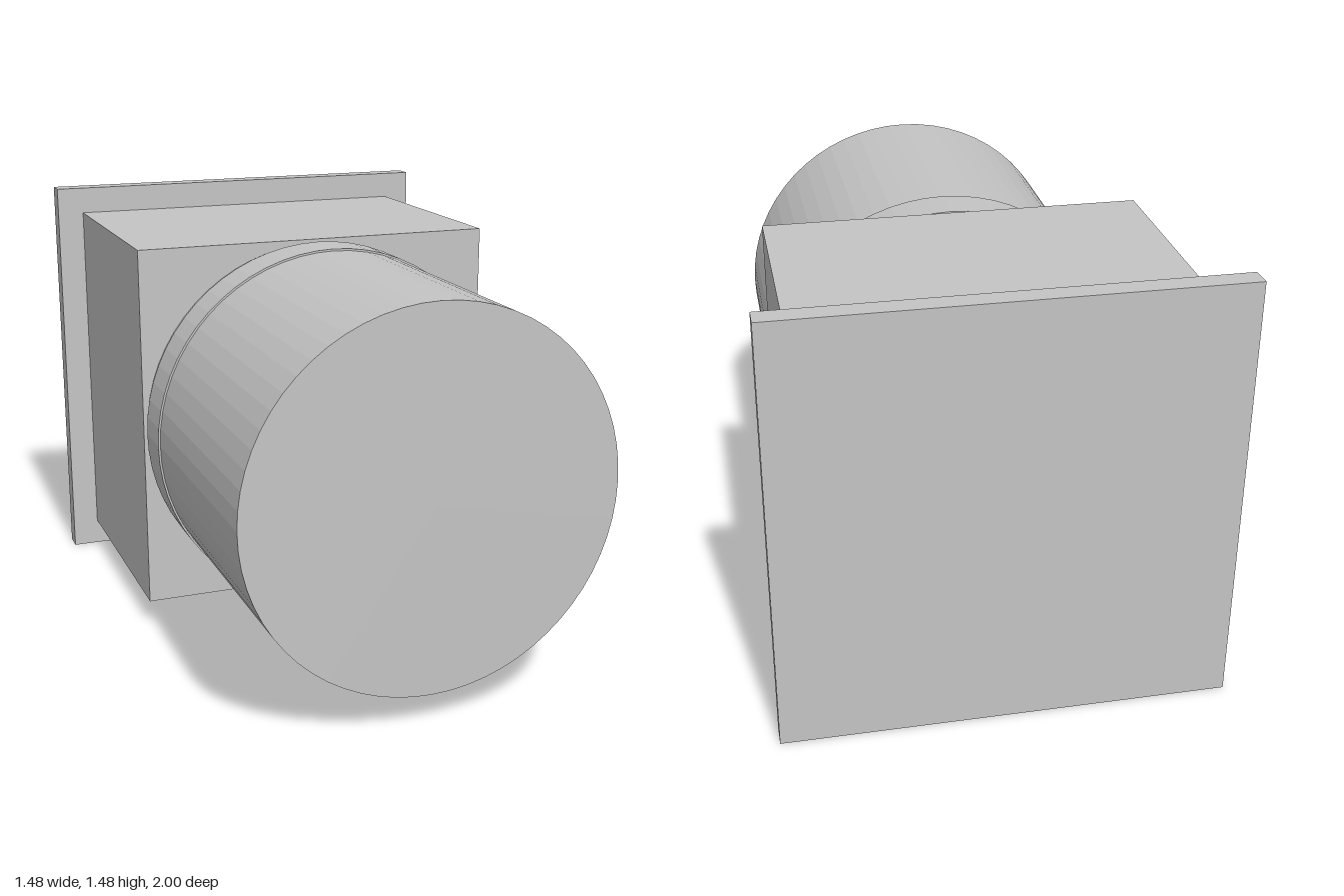
import * as THREE from 'three';

export function createModel() {
  const group = new THREE.Group();
  const grey = new THREE.MeshStandardMaterial({ color: 0xc4c4c4, flatShading: true });
  grey.name = 'light grey';
  const axisY = 0.74;

  // Places a part on the shared front-to-back axis, between two depths
  const add = (name, geometry, z0, z1) => {
    const mesh = new THREE.Mesh(geometry, grey);
    mesh.name = name;
    mesh.position.set(0, axisY, (z0 + z1) / 2);
    group.add(mesh);
  };
  const block = (name, size, z0, z1) =>
    add(name, new THREE.BoxGeometry(size, size, z1 - z0), z0, z1);
  const drum = (name, radius, z0, z1) =>
    add(name, new THREE.CylinderGeometry(radius, radius, z1 - z0, 64).rotateX(Math.PI / 2), z0, z1);

  // Square wall flange and housing
  block('backFlange', 1.48, -1, -0.928);
  block('squareHousing', 1.287, -0.928, -0.04);

  // Round pipe with a slightly raised collar near the housing
  drum('roundPipe', 0.631, -0.04, 1);
  drum('pipeCollar', 0.638, -0.015, 0.138);

  return group;
}
